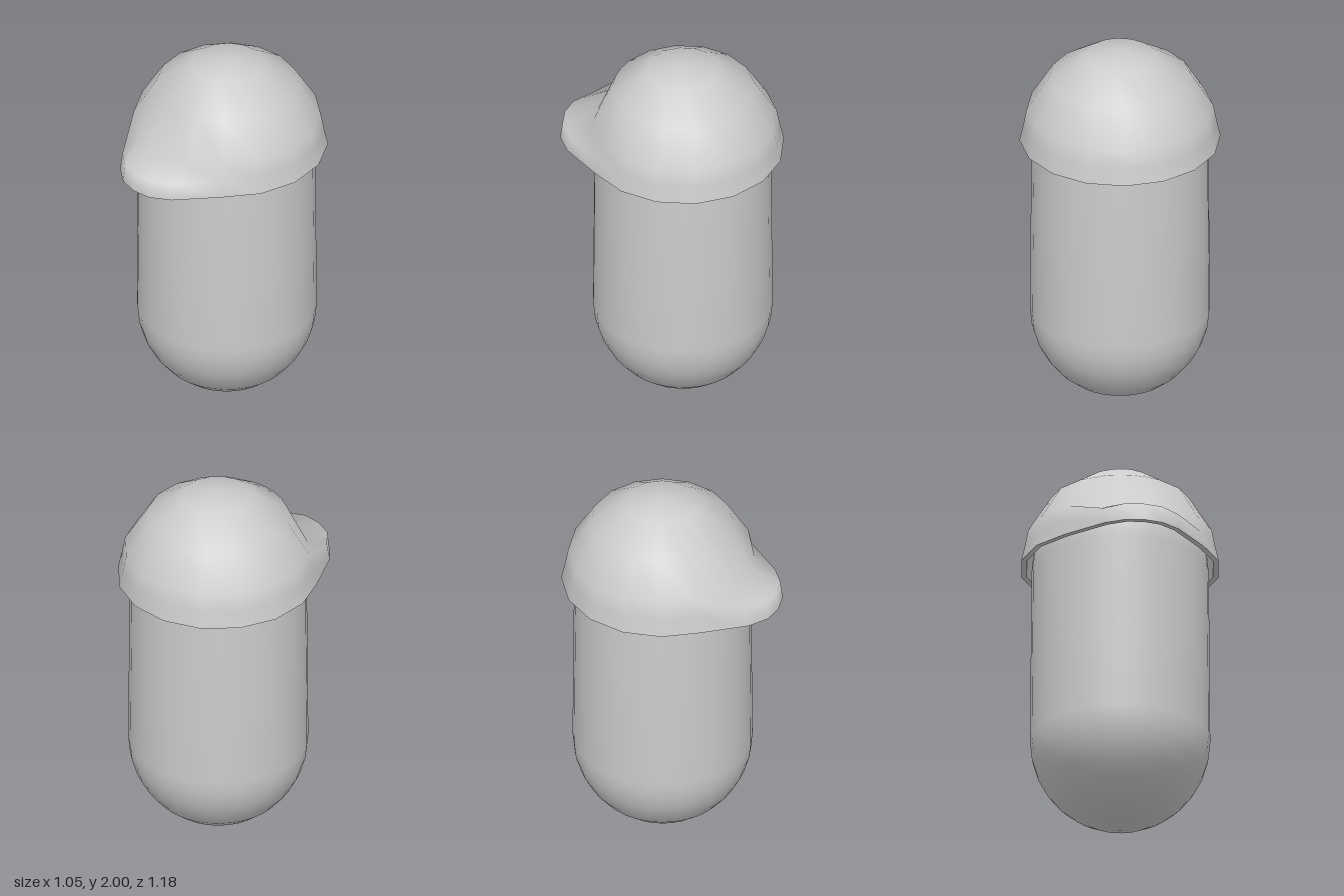
import * as THREE from 'three';

const CZ = -0.07; // axis of the body and cap
const material = new THREE.MeshStandardMaterial({ color: 0xcccccc, side: THREE.DoubleSide });

// Column angles measured from the front, denser at the bill
const columns = [0, 11.25, 22.5];
for (let a = 45; a <= 315; a += 22.5) columns.push(a);
columns.push(337.5, 348.75);
const N = columns.length;

// Cap rings below the pole: radius, height
const rings = [[0.187, 1.97], [0.37, 1.85], [0.488, 1.66], [0.505, 1.57], [0.525, 1.48]];
// Bill columns from the centre outward: x, y, z on the last three rings
const bill = [
  [[0, 1.61, 0.4], [0, 1.56, 0.577], [0, 1.463, 0.59]],
  [[0.095, 1.61, 0.395], [0.1, 1.56, 0.56], [0.1, 1.463, 0.573]],
  [[0.19, 1.612, 0.375], [0.197, 1.557, 0.49], [0.2, 1.465, 0.505]],
  [[0.345, 1.655, 0.275], [0.358, 1.565, 0.288], [0.371, 1.476, 0.3]],
];

function capPoint(row, col) {
  const [r, y] = rings[row];
  const fromFront = Math.min(col, N - col);
  if (row >= 2 && fromFront < bill.length) {
    const [bx, by, bz] = bill[fromFront][row - 2];
    return [col > N / 2 ? -bx : bx, by, bz];
  }
  const a = THREE.MathUtils.degToRad(columns[col]);
  return [r * Math.sin(a), y, CZ + r * Math.cos(a)];
}

function shellGeometry() {
  const pos = [0, 2, CZ];
  const idx = [];
  rings.forEach((_, row) => {
    for (let c = 0; c < N; c++) {
      pos.push(...capPoint(row, c));
      const d = (c + 1) % N;
      const low = 1 + row * N;
      const up = low - N;
      if (row === 0) idx.push(0, low + c, low + d);
      else idx.push(up + c, low + c, low + d, up + c, low + d, up + d);
    }
  });
  const g = new THREE.BufferGeometry();
  g.setAttribute('position', new THREE.Float32BufferAttribute(pos, 3));
  g.setIndex(idx);
  g.computeVertexNormals();
  return g;
}

function buildCap() {
  const cap = new THREE.Group();
  cap.name = 'cap';
  const outer = shellGeometry();
  const inner = outer.clone();
  const p = inner.attributes.position;
  const n = outer.attributes.normal;
  const rimStart = p.count - N;
  // Lining: the shell pushed inward, its rim kept level
  for (let i = 0; i < p.count; i++) {
    const t = 0.03;
    const dy = i >= rimStart ? 0 : n.getY(i) * t;
    p.setXYZ(i, p.getX(i) - n.getX(i) * t, p.getY(i) - dy, p.getZ(i) - n.getZ(i) * t);
  }
  const order = inner.index.array;
  for (let i = 0; i < order.length; i += 3) [order[i], order[i + 1]] = [order[i + 1], order[i]];
  inner.computeVertexNormals();

  // Flat lower edge joining shell and lining
  const pos = [];
  const idx = [];
  const v = new THREE.Vector3();
  for (let c = 0; c < N; c++) {
    for (const g of [outer, inner]) pos.push(...v.fromBufferAttribute(g.attributes.position, rimStart + c).toArray());
    const a = 2 * c;
    const b = 2 * ((c + 1) % N);
    idx.push(a, a + 1, b, b, a + 1, b + 1);
  }
  const rim = new THREE.BufferGeometry();
  rim.setAttribute('position', new THREE.Float32BufferAttribute(pos, 3));
  rim.setIndex(idx);
  rim.computeVertexNormals();

  for (const [name, g] of [['capShell', outer], ['capLining', inner], ['capRim', rim]]) {
    const mesh = new THREE.Mesh(g, material);
    mesh.name = name;
    cap.add(mesh);
  }
  return cap;
}

// Capsule body with a rounded base and a dome hidden under the cap
function buildBody() {
  const profile = [];
  for (let i = 0; i <= 8; i++) {
    const a = (i / 8) * Math.PI / 2;
    profile.push(new THREE.Vector2(0.47 * Math.sin(a), 0.48 - 0.475 * Math.cos(a)));
  }
  profile.push(new THREE.Vector2(0.467, 0.9));
  for (let i = 0; i <= 8; i++) {
    const a = (i / 8) * Math.PI / 2;
    profile.push(new THREE.Vector2(0.462 * Math.cos(a), 1.46 + 0.45 * Math.sin(a)));
  }
  const body = new THREE.Mesh(new THREE.LatheGeometry(profile, 32), material);
  body.name = 'body';
  body.position.z = CZ + 0.005;
  return body;
}

export function createModel() {
  const model = new THREE.Group();
  model.name = 'cappedCapsule';
  model.add(buildBody(), buildCap());
  return model;
}
